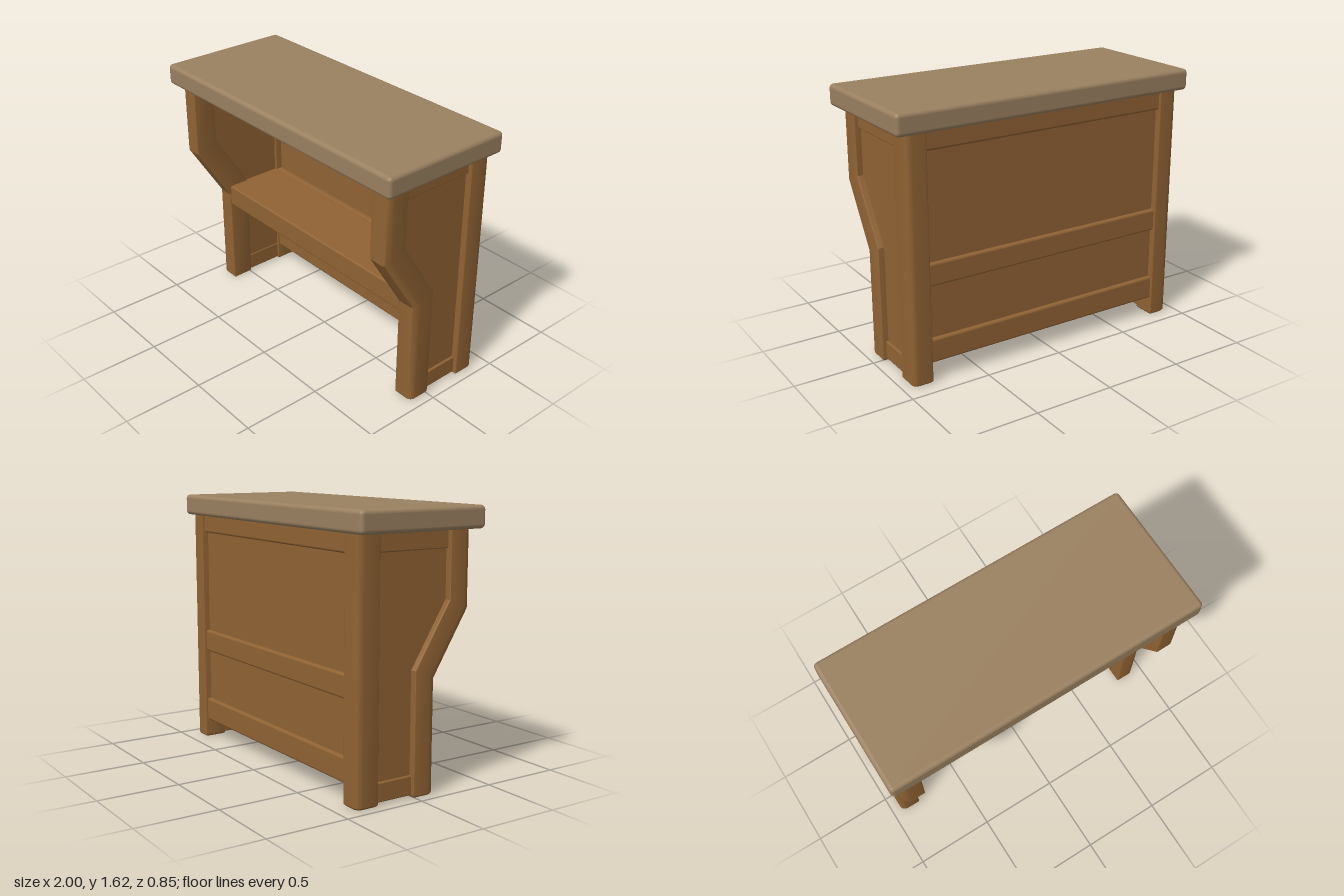
import * as THREE from 'three';
import { toCreasedNormals } from 'three/addons/utils/BufferGeometryUtils.js';
import { RoundedBoxGeometry } from 'three/addons/geometries/RoundedBoxGeometry.js';

const wood = new THREE.MeshStandardMaterial({ color: 0x8f6233 });
const topWood = new THREE.MeshStandardMaterial({ color: 0x9a8060 });

// Rounded box given by its lower and upper limits on each axis
function board(name, [x0, x1], [y0, y1], [z0, z1], radius, material = wood) {
  const geometry = new RoundedBoxGeometry(x1 - x0, y1 - y0, z1 - z0, 3, radius);
  const mesh = new THREE.Mesh(geometry, material);
  mesh.position.set((x0 + x1) / 2, (y0 + y1) / 2, (z0 + z1) / 2);
  mesh.name = name;
  return mesh;
}

// Post cross-section: one well rounded outer corner, three slightly eased ones
function postSection(width, depth, sideX, sideZ) {
  const points = [];
  [[1, 1], [-1, 1], [-1, -1], [1, -1]].forEach(([sx, sz], corner) => {
    const r = sx === sideX && sz === sideZ ? 0.04 : 0.008;
    for (let i = 0; i <= 6; i++) {
      const a = (corner + i / 6) * Math.PI / 2;
      points.push([
        sx * (width / 2 - r) + r * Math.cos(a),
        sz * (depth / 2 - r) + r * Math.sin(a),
      ]);
    }
  });
  return points;
}

// Loft a section upward through levels of { y, z, scale, tilt }
function loftPost(name, section, depth, x, levels) {
  const n = section.length;
  const positions = [];
  const index = [];
  for (const { y, z, scale = 1, tilt = 0 } of levels) {
    for (const [px, pz] of section) {
      positions.push(x + px * scale, y - tilt * pz / depth, z + pz * scale);
    }
  }
  for (let l = 0; l < levels.length - 1; l++) {
    for (let i = 0; i < n; i++) {
      const a = l * n + i;
      const b = l * n + (i + 1) % n;
      index.push(a, a + n, b, b, a + n, b + n);
    }
  }
  // End caps
  const last = levels.length - 1;
  const bottom = positions.length / 3;
  positions.push(x, levels[0].y, levels[0].z, x, levels[last].y, levels[last].z);
  for (let i = 0; i < n; i++) {
    const j = (i + 1) % n;
    index.push(bottom, i, j, bottom + 1, last * n + j, last * n + i);
  }
  const geometry = new THREE.BufferGeometry();
  geometry.setAttribute('position', new THREE.Float32BufferAttribute(positions, 3));
  geometry.setIndex(index);
  const mesh = new THREE.Mesh(toCreasedNormals(geometry, 0.5), wood);
  mesh.name = name;
  return mesh;
}

// One end of the counter: cranked front leg, straight back post, panel and rails
function createEnd(side) {
  const end = new THREE.Group();
  end.name = side > 0 ? 'leftEnd' : 'rightEnd';
  const width = 0.13, depth = 0.145, x = side * 0.875;
  const span = (inner, outer) => (side > 0 ? [inner, outer] : [-outer, -inner]);

  end.add(loftPost('frontLeg', postSection(width, depth, side, 1), depth, x, [
    { y: 0, z: 0.0625, scale: 0.88 },
    { y: 0.01, z: 0.0625 },
    { y: 0.695, z: 0.0625, tilt: 0.06 },
    { y: 1.07, z: 0.2975, tilt: 0.06 },
    { y: 1.5, z: 0.2975 },
  ]));
  end.add(loftPost('backPost', postSection(width, depth, side, -1), depth, x, [
    { y: 0, z: -0.3275, scale: 0.88 },
    { y: 0.01, z: -0.3275 },
    { y: 1.5, z: -0.3275 },
  ]));

  // Recessed panel following the crank of the leg, profile in (z, y)
  const profile = new THREE.Shape([
    [-0.3, 0.03], [0.02, 0.03], [0.02, 0.73], [0.255, 1.1], [0.255, 1.5], [-0.3, 1.5],
  ].map(([z, y]) => new THREE.Vector2(z, y)));
  const panelGeometry = new THREE.ExtrudeGeometry(profile, { depth: 0.075, bevelEnabled: false });
  panelGeometry.rotateY(-Math.PI / 2);
  const panel = new THREE.Mesh(panelGeometry, wood);
  panel.position.x = span(0.825, 0.9)[1];
  panel.name = 'sidePanel';
  end.add(panel);

  end.add(board('sideTopRail', span(0.82, 0.915), [1.385, 1.5], [-0.3, 0.27], 0.008));
  end.add(board('sideBottomRail', span(0.82, 0.915), [0.01, 0.125], [-0.3, 0.03], 0.008));
  return end;
}

export function createModel() {
  const model = new THREE.Group();
  model.name = 'barCounter';

  model.add(board('counterTop', [-1, 1], [1.49, 1.62], [-0.425, 0.425], 0.025, topWood));
  for (const side of [1, -1]) model.add(createEnd(side));

  // Back wall with its three rails
  const inside = [-0.83, 0.83];
  model.add(board('backPanel', inside, [0.15, 1.5], [-0.36, -0.3], 0.005));
  const rails = [
    ['backTopRail', [1.38, 1.5]],
    ['backMiddleRail', [0.59, 0.73]],
    ['backBottomRail', [0.115, 0.265]],
  ];
  for (const [name, height] of rails) {
    model.add(board(name, inside, height, [-0.385, -0.265], 0.015));
  }

  // Shelf between the ends
  model.add(board('shelf', inside, [0.59, 0.73], [-0.27, 0.13], 0.012));
  return model;
}
